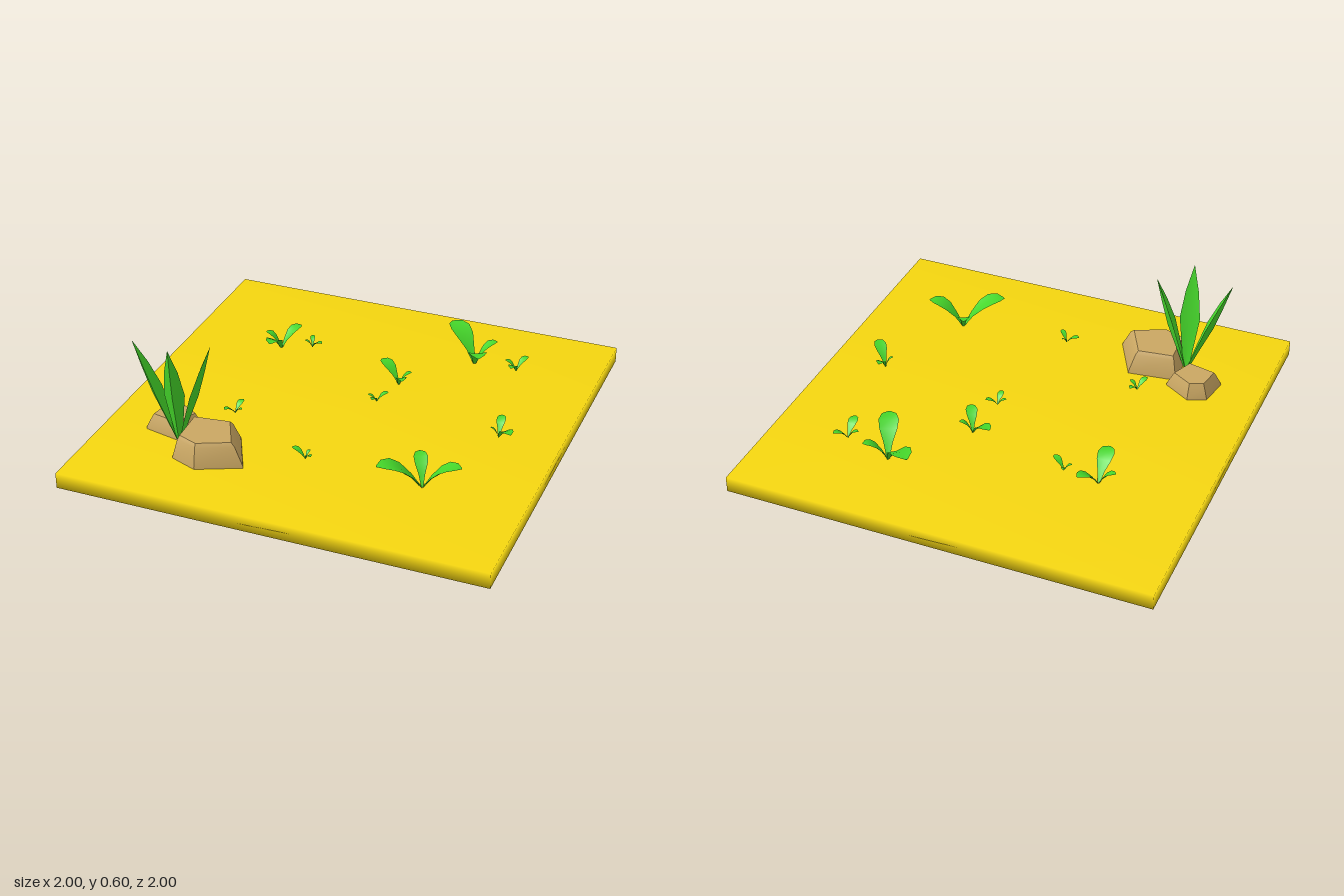
import * as THREE from 'three';
import { mergeVertices, toCreasedNormals } from 'three/addons/utils/BufferGeometryUtils.js';

const sandMat = new THREE.MeshStandardMaterial({ color: 0xf5d60f });
const leafMat = new THREE.MeshStandardMaterial({ color: 0x45d62a });
const rockMat = new THREE.MeshStandardMaterial({ color: 0xcaa763 });
const V = (x, y, z) => new THREE.Vector3(x, y, z);

// Closed skin over a list of rings, always facing outward
function loft(rings, crease) {
  const n = rings[0].length;
  const pts = rings.flat();
  const tris = [];
  for (let r = 0; r < rings.length - 1; r++) {
    for (let i = 0; i < n; i++) {
      const a = r * n + i, b = r * n + (i + 1) % n;
      tris.push([a, b, a + n], [b, b + n, a + n]);
    }
  }
  const last = (rings.length - 1) * n;
  for (let i = 1; i < n - 1; i++) {
    tris.push([0, i + 1, i], [last, last + i, last + i + 1]);
  }
  const centre = pts.reduce((s, p) => s.add(p), V(0, 0, 0)).divideScalar(pts.length);
  const q = pts.map((p) => p.clone().sub(centre));
  const volume = tris.reduce((s, [a, b, c]) => s + q[a].dot(q[b].clone().cross(q[c])), 0);
  const geo = new THREE.BufferGeometry().setFromPoints(pts);
  geo.setIndex(tris.flatMap(([a, b, c]) => (volume < 0 ? [a, c, b] : [a, b, c])));
  return toCreasedNormals(geo, crease);
}

function addMesh(parent, name, geo, mat) {
  const mesh = new THREE.Mesh(geo, mat);
  mesh.name = name;
  parent.add(mesh);
}

// Folded leaf along a curve; widths are [position, fraction of halfWidth]
function leaf(base, control, tip, halfWidth, widths, fold, keel) {
  const curve = new THREE.QuadraticBezierCurve3(base, control, tip);
  const side = V(tip.z - base.z, 0, base.x - tip.x).normalize();
  const rings = widths.map(([t, f]) => {
    const p = curve.getPoint(t);
    const up = curve.getTangent(t).cross(side).normalize();
    if (up.y < 0) up.negate();
    const w = halfWidth * f;
    return [[-1, fold], [0, 0.08], [1, fold], [0, -keel]].map(([u, v]) =>
      p.clone().addScaledVector(side, u * w).addScaledVector(up, v * w));
  });
  return loft(rings, 1.1);
}

const broad = [[0, 0.12], [0.25, 0.45], [0.5, 0.88], [0.7, 1], [0.88, 0.72], [1, 0.12]];
const blade = [[0, 0.2], [0.25, 0.62], [0.5, 1], [0.75, 0.65], [1, 0.02]];

// Sprouts: base point, then the x, z of each leaf tip
const sprouts = [
  [[0.40, 0.07, -0.60], [[0.24, -0.73], [0.49, -0.665], [0.47, -0.43]]],
  [[0.62, 0.10, -0.56], [[0.66, -0.62], [0.565, -0.56], [0.62, -0.47]]],
  [[-0.53, 0.07, -0.40], [[-0.465, -0.50], [-0.61, -0.40], [-0.525, -0.25]]],
  [[-0.37, 0.105, -0.41], [[-0.385, -0.455], [-0.405, -0.40], [-0.31, -0.38]]],
  [[0.13, 0.075, -0.275], [[0.02, -0.335], [0.185, -0.30], [0.18, -0.18]]],
  [[0.10, 0.095, -0.06], [[0.145, -0.095], [0.06, -0.05], [0.10, 0.0]]],
  [[0.72, 0.09, 0.025], [[0.71, -0.06], [0.685, 0.04], [0.80, 0.11]]],
  [[-0.46, 0.105, 0.29], [[-0.445, 0.23], [-0.42, 0.305], [-0.49, 0.345]]],
  [[-0.01, 0.105, 0.53], [[-0.075, 0.525], [0, 0.50], [0.03, 0.565]]],
  [[0.53, 0.07, 0.51], [[0.475, 0.395], [0.70, 0.49], [0.36, 0.625]]],
];

function makeSprout([b, tips]) {
  const group = new THREE.Group();
  group.name = 'sprout';
  const base = V(...b);
  const lengths = tips.map(([x, z]) => Math.hypot(x - base.x, z - base.z));
  const longest = Math.max(...lengths);
  tips.forEach(([x, z], i) => {
    const tip = V(x, base.y + 0.34 * (longest + lengths[i]), z);
    const control = base.clone().lerp(tip, 0.45);
    control.y = tip.y + 0.05 * lengths[i];
    addMesh(group, 'sproutLeaf', leaf(base, control, tip, lengths[i] * 0.25, broad, 0.22, 0.22), leafMat);
  });
  return group;
}

// Tapered rock from a ground outline, with a bevelled top
function makeRock(outline, cx, cz, top) {
  const ring = (s, y) => outline.map(([x, z]) => V(cx + (x - cx) * s, y, cz + (z - cz) * s));
  return loft([ring(1, 0.06), ring(0.98, 0.085), ring(0.8, top - 0.018), ring(0.72, top)], 0.55);
}

export function createModel() {
  const model = new THREE.Group();
  model.name = 'sandPatch';

  // Slab with normals shared across its corners
  const slab = new THREE.BoxGeometry(2, 0.075, 2);
  slab.deleteAttribute('normal');
  slab.deleteAttribute('uv');
  const ground = mergeVertices(slab);
  ground.translate(0, 0.0375, 0);
  ground.computeVertexNormals();
  addMesh(model, 'ground', ground, sandMat);

  // Rocks
  addMesh(model, 'largeRock', makeRock(
    [[-0.59, 0.47], [-0.36, 0.44], [-0.25, 0.66], [-0.45, 0.75], [-0.58, 0.70]], -0.48, 0.6, 0.185), rockMat);
  addMesh(model, 'smallRock', makeRock(
    [[-0.80, 0.52], [-0.775, 0.375], [-0.69, 0.34], [-0.56, 0.42], [-0.62, 0.56]], -0.685, 0.445, 0.15), rockMat);

  // Tall plant of upright blades
  const plant = new THREE.Group();
  plant.name = 'tallPlant';
  const base = V(-0.607, 0.07, 0.57);
  for (const tip of [V(-0.80, 0.575, 0.6), V(-0.455, 0.575, 0.53), V(-0.59, 0.6, 0.672)]) {
    const control = base.clone().lerp(tip, 0.5);
    control.y += 0.02;
    addMesh(plant, 'tallLeaf', leaf(base, control, tip, 0.048, blade, 0.3, 0.4), leafMat);
  }
  model.add(plant);

  // Small sprouts
  sprouts.forEach((s) => model.add(makeSprout(s)));
  return model;
}
